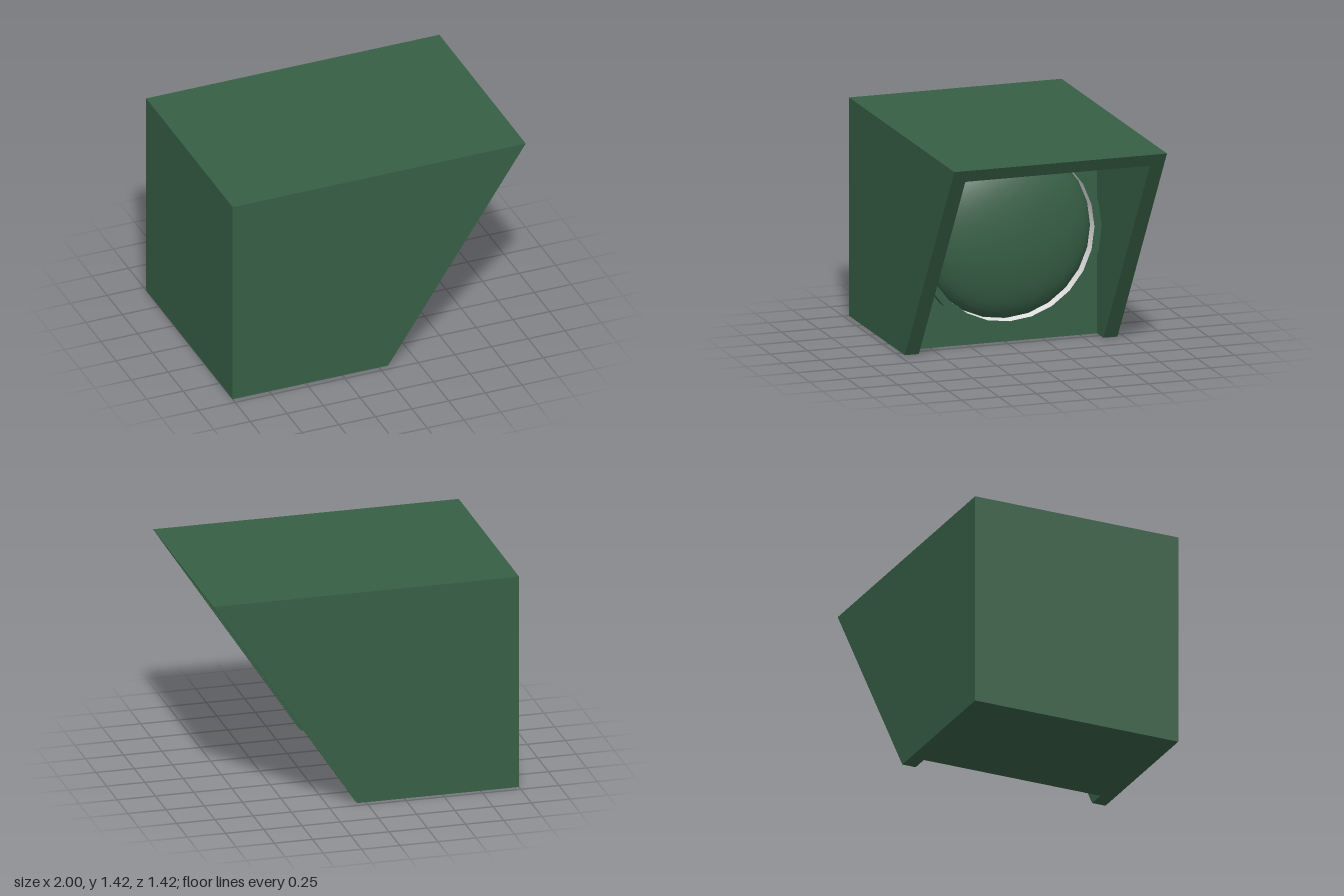
import * as THREE from 'three';

const green = new THREE.MeshStandardMaterial({ color: 0x375f45 });
green.name = 'dark green';
const white = new THREE.MeshStandardMaterial({ color: 0xe6e6e6, side: THREE.BackSide });
white.name = 'white lining';

const HALF_DEPTH = 0.71, INNER_Z = 0.617, HEIGHT = 1.42, CEILING = 1.335, PANEL_X = -0.06;
const SEGMENTS = 24;

function part(name, geometry, material, parent) {
  const mesh = new THREE.Mesh(geometry, material);
  mesh.name = name;
  parent.add(mesh);
  return mesh;
}

// Side profile in x and y, extruded from z0 to z1
function slab(points, z0, z1) {
  const shape = new THREE.Shape(points.map(([x, y]) => new THREE.Vector2(x, y)));
  return new THREE.ExtrudeGeometry(shape, { depth: z1 - z0, bevelEnabled: false }).translate(0, 0, z0);
}

export function createModel() {
  const model = new THREE.Group();
  model.name = 'hoodedLamp';

  // Housing with recessed panel and overhanging roof
  const roofX = 0.06 + 0.94 * CEILING / HEIGHT;
  part('housing', slab([
    [-1, 0], [PANEL_X, 0], [PANEL_X, CEILING], [roofX, CEILING], [1, HEIGHT], [-1, HEIGHT],
  ], -INNER_Z, INNER_Z), green, model);

  // Slanted side walls
  const wall = [[-1, 0], [0.06, 0], [1, HEIGHT], [-1, HEIGHT]];
  part('leftWall', slab(wall, INNER_Z, HALF_DEPTH), green, model);
  part('rightWall', slab(wall, -HALF_DEPTH, -INNER_Z), green, model);

  // Lamp built along +y, then turned to face +x
  const lamp = new THREE.Group();
  lamp.name = 'lamp';
  lamp.position.set(PANEL_X, 0.72, 0);
  lamp.rotation.z = -Math.PI / 2;
  model.add(lamp);

  const outer = 0.615, inner = 0.567, rise = 0.09;
  part('rimOuter', new THREE.CylinderGeometry(outer, outer, rise, SEGMENTS, 1, true)
    .translate(0, rise / 2, 0), green, lamp);
  part('rimFace', new THREE.RingGeometry(inner, outer, SEGMENTS)
    .rotateX(-Math.PI / 2).translate(0, rise, 0), green, lamp);
  part('rimLining', new THREE.CylinderGeometry(inner, inner, rise, SEGMENTS, 1, true)
    .translate(0, rise / 2, 0), white, lamp);

  // Flattened lens dome
  part('lens', new THREE.SphereGeometry(0.565, SEGMENTS, 10, 0, Math.PI * 2, 0, Math.PI / 2)
    .scale(1, 0.36, 1), green, lamp);

  return model;
}
